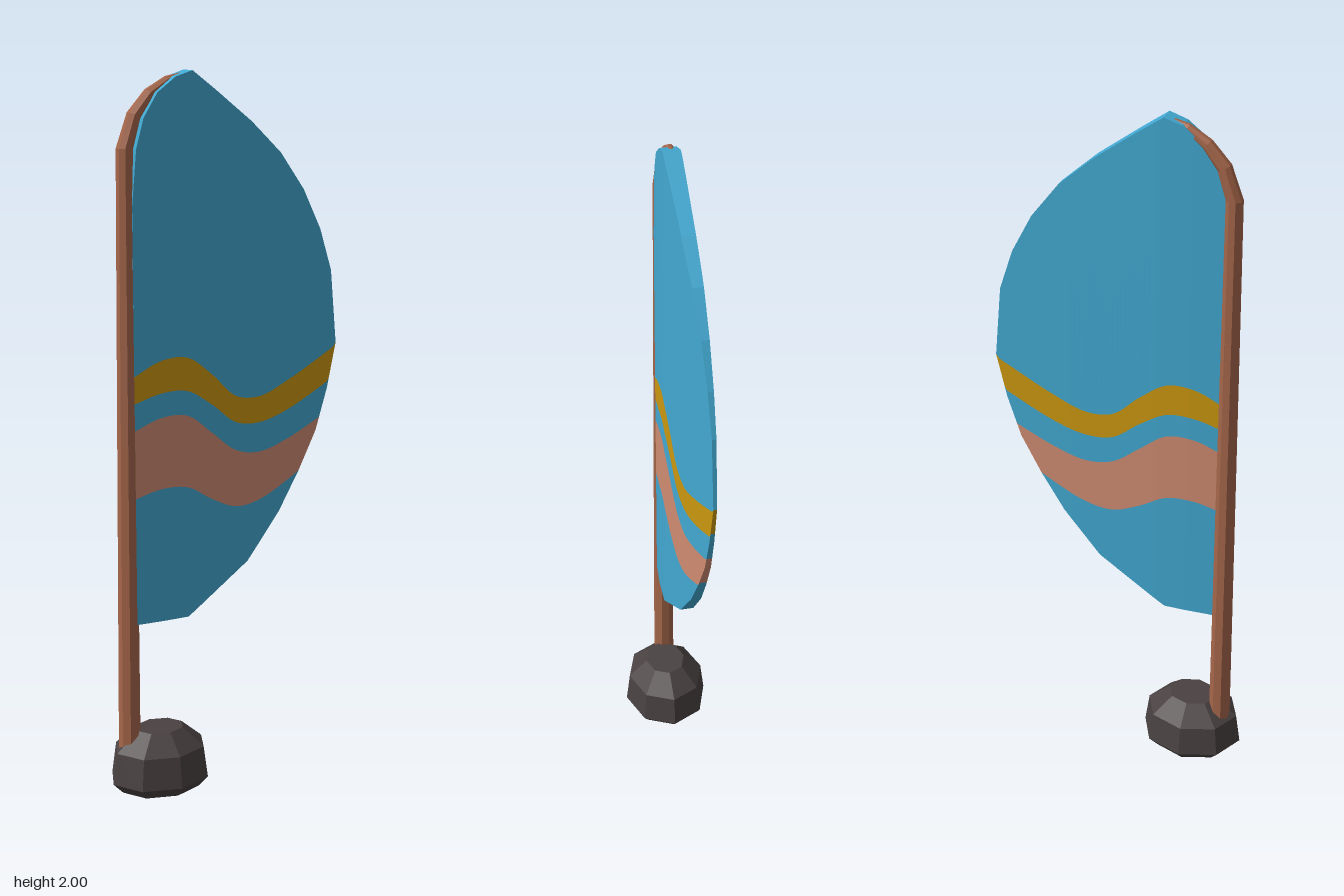
import * as THREE from 'three';

const mat = (name, color) => {
  const m = new THREE.MeshStandardMaterial({ color });
  m.name = name;
  return m;
};

// Piecewise linear curve through [x, value] points
const curve = (pts) => (x) => {
  if (x <= pts[0][0]) return pts[0][1];
  for (let i = 1; i < pts.length; i++) {
    const [x0, v0] = pts[i - 1], [x1, v1] = pts[i];
    if (x <= x1) return v0 + ((v1 - v0) * (x - x0)) / (x1 - x0);
  }
  return pts[pts.length - 1][1];
};

// Smooth wave through [x, y] points
const wave = (pts) => {
  const c = new THREE.CatmullRomCurve3(pts.map(([x, y]) => new THREE.Vector3(x, y, 0)));
  return curve(c.getPoints(60).map((p) => [p.x, p.y]));
};

// Triangles from a list of quads, with flat normals
function quadsGeometry(quads) {
  const pos = [];
  for (const [a, b, c, d] of quads) pos.push(...a, ...b, ...c, ...a, ...c, ...d);
  const g = new THREE.BufferGeometry();
  g.setAttribute('position', new THREE.Float32BufferAttribute(pos, 3));
  g.computeVertexNormals();
  return g;
}

export function createModel() {
  const group = new THREE.Group();
  const blue = mat('sail blue', 0x42a9d2);
  const yellow = mat('stripe yellow', 0xcc9810);
  const pink = mat('stripe salmon', 0xd08c72);
  const brown = mat('pole brown', 0xa5664a);
  const dark = mat('base dark grey', 0x4a4242);
  const add = (name, geometry, material) => {
    const mesh = new THREE.Mesh(geometry, material);
    mesh.name = name;
    group.add(mesh);
    return mesh;
  };

  // Sail outline
  const lowPts = [[-0.3, 0.49], [-0.14, 0.49], [0.06, 0.62], [0.17, 0.75], [0.24, 0.86],
    [0.3, 0.97], [0.34, 1.09], [0.37, 1.22]];
  const topPts = [[-0.3, 1.65], [-0.287, 1.8], [-0.265, 1.88], [-0.225, 1.945], [-0.17, 1.985], [-0.12, 2],
    [-0.05, 1.95], [0.07, 1.86], [0.17, 1.77], [0.25, 1.665], [0.31, 1.55], [0.35, 1.43], [0.37, 1.22]];
  const low = curve(lowPts), top = curve(topPts);

  // Sail thickness across its width
  const front = curve([[-0.3, 0.008], [-0.22, 0.016], [-0.12, 0.02], [0.1, 0.012], [0.37, -0.005]]);
  const back = curve([[-0.3, -0.02], [-0.2, -0.026], [-0.1, -0.028], [0.15, -0.023], [0.37, -0.015]]);

  // Wavy lines that divide the sail into bands
  const bounds = [
    low,
    wave([[-0.3, 0.85], [-0.22, 0.87], [-0.14, 0.865], [-0.06, 0.82], [0.02, 0.787], [0.1, 0.795], [0.24, 0.86], [0.37, 0.94]]),
    wave([[-0.3, 1.04], [-0.22, 1.07], [-0.14, 1.068], [-0.06, 1.01], [0.02, 0.95], [0.1, 0.935], [0.2, 0.96], [0.33, 1.015], [0.37, 1.03]]),
    wave([[-0.3, 1.115], [-0.22, 1.138], [-0.14, 1.137], [-0.06, 1.09], [0.02, 1.03], [0.1, 1.02], [0.2, 1.045], [0.355, 1.115], [0.37, 1.12]]),
    wave([[-0.3, 1.19], [-0.22, 1.228], [-0.14, 1.23], [-0.06, 1.175], [0.02, 1.105], [0.1, 1.095], [0.2, 1.13], [0.37, 1.212]]),
    top,
  ];
  const bands = [['sailBottom', blue], ['wideStripe', pink], ['sailMiddle', blue],
    ['narrowStripe', yellow], ['sailTop', blue]];

  const xs = [...lowPts, ...topPts].map((p) => p[0]);
  for (let i = 1; i < 60; i++) xs.push(-0.3 + (0.67 * i) / 60);
  const cols = [...new Set(xs)].sort((a, b) => a - b);

  bands.forEach(([name, material], j) => {
    const quads = [];
    const limit = (k, x) => Math.min(Math.max(bounds[k](x), low(x)), top(x));
    for (let i = 0; i + 1 < cols.length; i++) {
      const [x0, x1] = [cols[i], cols[i + 1]];
      const corners = [[x0, limit(j, x0)], [x1, limit(j, x1)], [x1, limit(j + 1, x1)], [x0, limit(j + 1, x0)]];
      const [a, b, c, d] = corners;
      if (c[1] - b[1] + d[1] - a[1] < 1e-5) continue;
      const F = corners.map(([x, y]) => [x, y, front(x)]);
      const B = corners.map(([x, y]) => [x, y, back(x)]);
      quads.push(F, [B[1], B[0], B[3], B[2]]);
      // Rim walls along the outline
      if (b[1] - low(x1) < 1e-6) quads.push([B[0], B[1], F[1], F[0]]);
      if (top(x0) - d[1] < 1e-6) quads.push([F[3], F[2], B[2], B[3]]);
      if (i === 0) quads.push([B[0], F[0], F[3], B[3]]);
    }
    add(name, quadsGeometry(quads), material);
  });

  // Tapered eight-sided pole, bending over the top of the sail: x, y, z, radius
  const path = [[-0.314, 0.06, -0.015, 0.031], [-0.311, 1.0, -0.015, 0.027], [-0.309, 1.8, -0.015, 0.023],
    [-0.28, 1.885, -0.015, 0.02], [-0.233, 1.94, -0.014, 0.017], [-0.18, 1.974, -0.011, 0.013], [-0.12, 1.99, -0.006, 0.008]];
  const sides = 8;
  const rings = path.map(([x, y, z, r], i) => {
    const p = path[Math.max(i - 1, 0)], n = path[Math.min(i + 1, path.length - 1)];
    const t = new THREE.Vector2(n[0] - p[0], n[1] - p[1]).normalize();
    return Array.from({ length: sides }, (_, k) => {
      const a = ((k + 0.5) / sides) * Math.PI * 2;
      return [x + t.y * Math.cos(a) * r, y - t.x * Math.cos(a) * r, z - Math.sin(a) * r];
    });
  });
  const poleQuads = [];
  for (let i = 0; i + 1 < rings.length; i++) {
    for (let k = 0; k < sides; k++) {
      const n = (k + 1) % sides;
      poleQuads.push([rings[i][k], rings[i][n], rings[i + 1][n], rings[i + 1][k]]);
    }
  }
  // End caps
  const first = rings[0], last = rings[rings.length - 1];
  for (let k = 1; k + 2 < sides; k += 2) {
    poleQuads.push([last[0], last[k], last[k + 1], last[k + 2]]);
    poleQuads.push([first[0], first[k + 2], first[k + 1], first[k]]);
  }
  add('pole', quadsGeometry(poleQuads), brown);

  // Faceted stone base
  const profile = [[0, 0], [0.12, 0], [0.15, 0.03], [0.137, 0.12], [0.072, 0.175], [0, 0.175]];
  const baseGeo = new THREE.LatheGeometry(profile.map(([r, y]) => new THREE.Vector2(r, y)), 8)
    .scale(1, 1, 0.83).translate(-0.225, 0, 0).toNonIndexed();
  baseGeo.computeVertexNormals();
  add('base', baseGeo, dark);

  return group;
}
